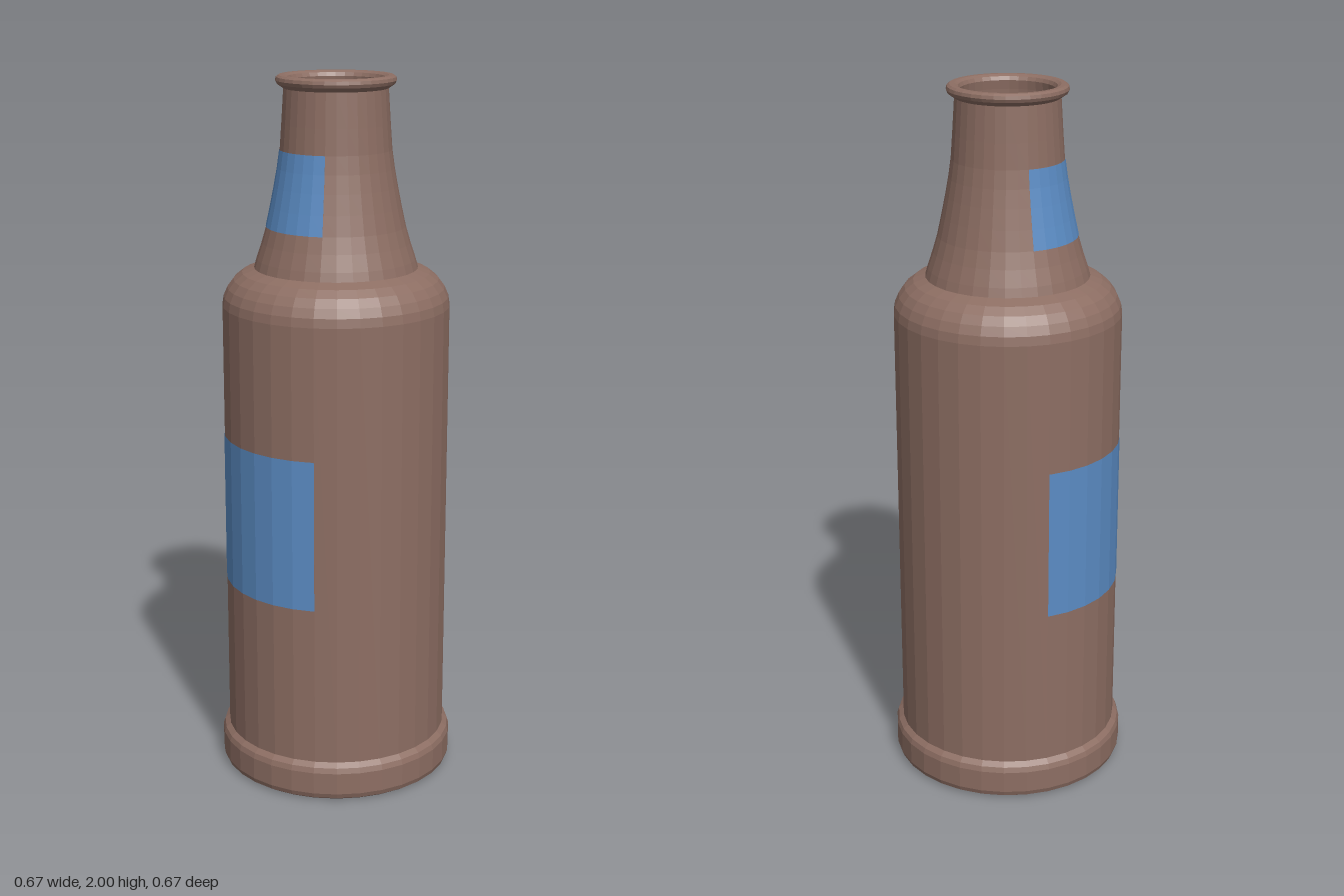
import * as THREE from 'three';

const SEGMENTS = 32;
const GLASS = 0x8d6e63;
const LABEL = 0x5b8cc4;
const WALL = 0.012;

// Profile points are [radius, height]
const BASE = [[0, 0.055], [0.255, 0.055], [0.275, 0.03], [0.29, 0.005], [0.3, 0], [0.32, 0],
  [0.332, 0.008], [0.337, 0.022], [0.337, 0.085], [0.332, 0.1], [0.318, 0.112]];
const SHOULDER = [[0.318, 1.37], [0.314, 1.395], [0.303, 1.42], [0.286, 1.443], [0.262, 1.462], [0.228, 1.475]];
const NECK = [[0.221, 1.5], [0.206, 1.545], [0.193, 1.59], [0.181, 1.645], [0.17, 1.7], [0.161, 1.75],
  [0.154, 1.8], [0.149, 1.87], [0.143, 1.965]];
const RIM = [[0.152, 1.971], [0.161, 1.977], [0.165, 1.986], [0.163, 1.995], [0.156, 2], [0.143, 2],
  [0.133, 1.995], [0.128, 1.985]];

function lathe(name, profile, color, start = 0, degrees = 360) {
  const points = profile.map(([r, y]) => new THREE.Vector2(r, y));
  const steps = Math.round(SEGMENTS * degrees / 360);
  const geometry = new THREE.LatheGeometry(points, steps,
    THREE.MathUtils.degToRad(start), THREE.MathUtils.degToRad(degrees));
  const mesh = new THREE.Mesh(geometry, new THREE.MeshStandardMaterial({ color, flatShading: true }));
  mesh.name = name;
  return mesh;
}

export function createModel() {
  const group = new THREE.Group();
  group.name = 'bottle';

  // Outer shell with a recessed underside, stepped foot and rounded shoulder
  group.add(lathe('body', [...BASE, ...SHOULDER], GLASS));
  group.add(lathe('neck', [SHOULDER.at(-1), ...NECK], GLASS));
  group.add(lathe('rim', [NECK.at(-1), ...RIM], GLASS));

  // Hollow interior, running from the rim down to the inner floor
  const wall = [...SHOULDER, ...NECK].reverse().map(([r, y]) => [r - WALL, y - 0.004]);
  group.add(lathe('interior', [RIM.at(-1), ...wall, [0.306, 0.07], [0, 0.07]], GLASS));

  // Labels wrapped part of the way around the right and back
  const proud = ([r, y]) => [r + 0.0015, y];
  const neckBand = NECK.filter(([, y]) => y >= 1.59 && y <= 1.8);
  group.add(lathe('bodyLabel', [[0.318, 0.57], [0.318, 1]].map(proud), LABEL, 157.5, 157.5));
  group.add(lathe('neckLabel', neckBand.map(proud), LABEL, 157.5, 157.5));

  return group;
}
